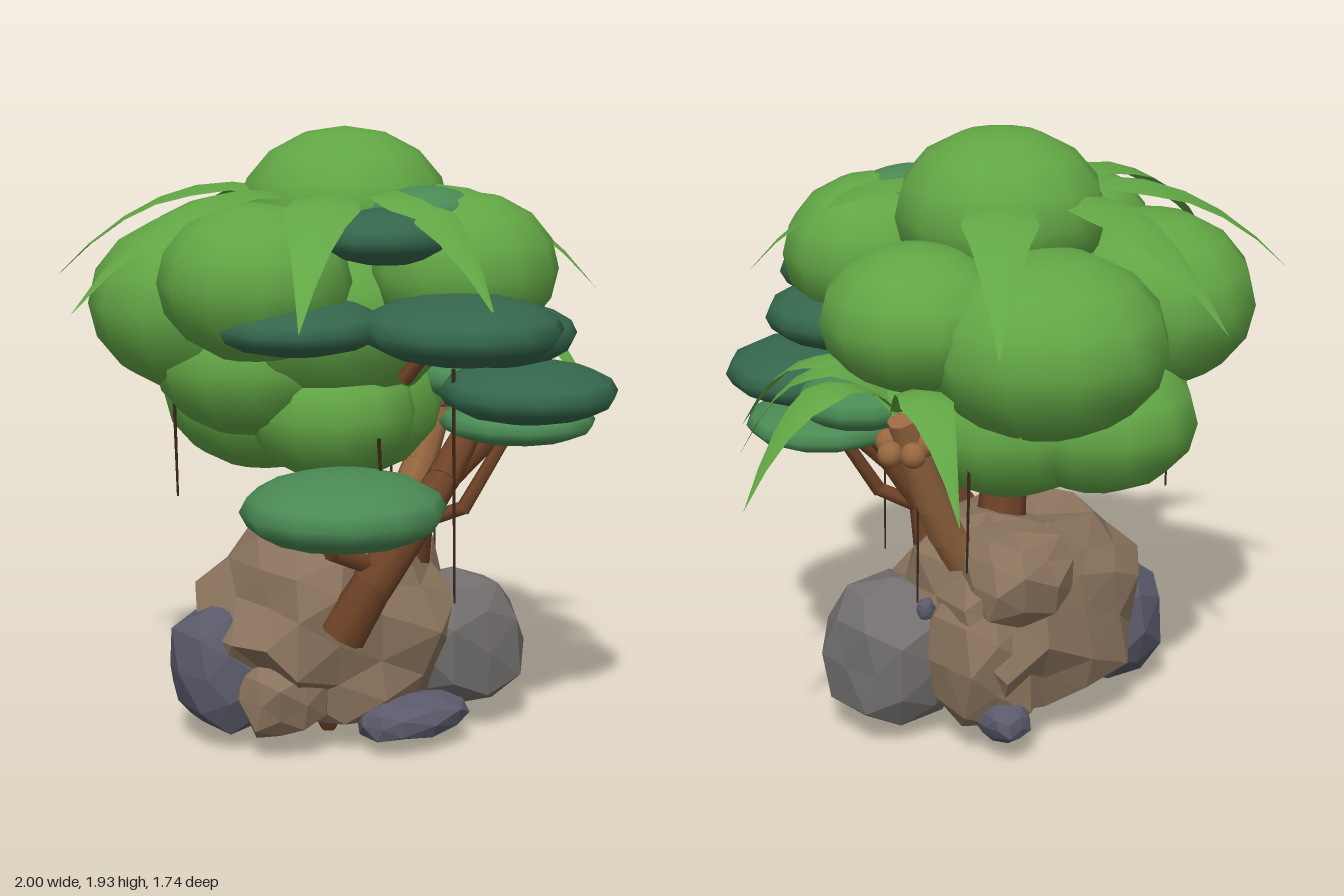
import * as THREE from 'three';

const mat = (name, color, side = THREE.FrontSide) => {
  const m = new THREE.MeshStandardMaterial({ color, side });
  m.name = name;
  return m;
};

export function createModel() {
  const group = new THREE.Group();
  const M = {
    leaf: mat('leaf green', 0x62a645),
    frond: mat('frond green', 0x62a645, THREE.DoubleSide),
    mid: mat('mid green', 0x4a8a54),
    dark: mat('dark green', 0x34674c),
    bark: mat('bark brown', 0x6f4327),
    palm: mat('palm bark', 0x986840),
    vine: mat('vine brown', 0x3c271a),
    earth: mat('earth brown', 0x8a735d),
    grey: mat('stone grey', 0x726f6e),
    slate: mat('slate', 0x5a5a6b),
  };
  const V = (p) => new THREE.Vector3(...p);
  const add = (name, geo, m) => {
    const mesh = new THREE.Mesh(geo, m);
    mesh.name = name;
    group.add(mesh);
    return mesh;
  };
  // repeatable noise in -1..1 from a position
  const noise = (x, y, z, s) => {
    const n = Math.sin(Math.round(x * 50) * 12.99 + Math.round(y * 50) * 78.23 + Math.round(z * 50) * 37.72 + s * 9.17) * 43758.5453;
    return (n - Math.floor(n)) * 2 - 1;
  };

  // smooth foliage, a squashed ball with few sides
  const blob = (name, [x, y, z], [rx, ry, rz], m) => {
    const mesh = add(name, new THREE.SphereGeometry(1, 12, 8), m);
    mesh.position.set(x, y, z);
    mesh.scale.set(rx, ry, rz);
  };
  [
    [[-0.02, 1.67, -0.06], [0.33, 0.26, 0.33]],
    [[0.15, 1.51, 0.33], [0.3, 0.24, 0.28]],
    [[0.38, 1.43, -0.12], [0.29, 0.22, 0.3]],
    [[0.13, 1.36, -0.41], [0.38, 0.28, 0.37]],
    [[-0.4, 1.38, -0.33], [0.34, 0.28, 0.34]],
    [[-0.45, 1.49, 0.09], [0.29, 0.24, 0.3]],
    [[-0.06, 1.35, -0.08], [0.42, 0.3, 0.4]],
    [[-0.3, 1.2, -0.18], [0.3, 0.23, 0.3]],
    [[-0.1, 1.05, -0.02], [0.27, 0.22, 0.28]],
    [[0.02, 1.05, -0.15], [0.34, 0.25, 0.33]],
    [[-0.15, 1.06, -0.34], [0.31, 0.24, 0.34]],
  ].forEach(([p, r]) => blob('canopy', p, r, M.leaf));

  // flat foliage pads
  [
    [[-0.37, 0.85, 0.44], [0.31, 0.115, 0.3], M.mid],
    [[-0.03, 1.37, 0.56], [0.3, 0.105, 0.31], M.dark],
    [[0.33, 1.13, 0.43], [0.28, 0.095, 0.28], M.dark],
    [[0.4, 1.01, 0.29], [0.25, 0.07, 0.25], M.mid],
    [[0.25, 1.31, 0.37], [0.25, 0.1, 0.25], M.dark],
    [[0.4, 1.13, 0.1], [0.22, 0.085, 0.2], M.mid],
    [[-0.39, 1.37, 0.24], [0.27, 0.085, 0.25], M.dark],
    [[-0.13, 1.63, 0.34], [0.23, 0.085, 0.18], M.dark],
    [[0.04, 1.69, 0.28], [0.18, 0.075, 0.16], M.mid],
  ].forEach(([p, r, m]) => blob('foliagePad', p, r, m));

  // arching pointed leaf with a raised midrib
  const frond = (root, tip, lift, width) => {
    const a = V(root), b = V(tip);
    const c = a.clone().lerp(b, 0.5);
    c.y = Math.max(a.y, b.y) + lift;
    const curve = new THREE.QuadraticBezierCurve3(a, c, b);
    const side = b.clone().sub(a).setY(0).normalize().cross(new THREE.Vector3(0, 1, 0));
    const n = 8, pos = [], idx = [];
    for (let i = 0; i <= n; i++) {
      const t = i / n, p = curve.getPoint(t);
      const w = width * (t < 0.5 ? 0.3 + 1.4 * t : (1 - t) / 0.5);
      [-1, 0, 1].forEach((s) => pos.push(p.x + side.x * w * s, p.y - Math.abs(s) * w * 0.2, p.z + side.z * w * s));
      if (i < n) for (let k = 0; k < 2; k++) {
        const q = i * 3 + k;
        idx.push(q, q + 1, q + 3, q + 1, q + 4, q + 3);
      }
    }
    const g = new THREE.BufferGeometry();
    g.setAttribute('position', new THREE.Float32BufferAttribute(pos, 3));
    g.setIndex(idx);
    g.computeVertexNormals();
    add('frond', g, M.frond);
  };
  [
    [-1, 1.42, -0.04], [-0.76, 1.45, -0.6], [-0.16, 1.42, -0.87], [0.55, 1.45, -0.65],
    [-0.67, 1.42, 0.66], [-0.07, 1.43, 0.77], [0.5, 1.45, 0.54],
  ].forEach((tip) => frond([-0.05, 1.64, -0.03], tip, 0.31, 0.115));
  [
    [1, 0.96, -0.06], [0.75, 0.98, 0.28], [0.69, 0.99, -0.64],
    [0.66, 1.03, 0.38], [0.3, 1.1, -0.5], [0.2, 1.1, 0.1],
  ].forEach((tip) => frond([0.46, 1.15, -0.12], tip, 0.34, 0.08));

  // jointed limb of tapered segments
  const limb = (name, pts, r0, r1, m, sides = 8) => {
    const n = pts.length - 1;
    for (let i = 0; i < n; i++) {
      const a = V(pts[i]), b = V(pts[i + 1]), d = b.clone().sub(a);
      const rad = (k) => r0 + (r1 - r0) * k / n;
      const mesh = add(name, new THREE.CylinderGeometry(rad(i + 1), rad(i) * 1.06, d.length() + 0.02, sides), m);
      mesh.position.copy(a).lerp(b, 0.5);
      mesh.quaternion.setFromUnitVectors(new THREE.Vector3(0, 1, 0), d.normalize());
    }
  };
  limb('frontTrunk', [[-0.24, 0.41, 0.25], [-0.17, 0.57, 0.31], [-0.05, 0.73, 0.34], [0.1, 0.86, 0.3], [0.24, 0.98, 0.24]], 0.07, 0.045, M.bark);
  limb('middleTrunk', [[0.11, 0.56, 0.1], [0.11, 0.7, 0.14], [0.2, 0.85, 0.2], [0.33, 0.98, 0.27]], 0.07, 0.035, M.bark);
  limb('rearTrunk', [[-0.05, 0.58, -0.03], [-0.08, 0.8, -0.02], [-0.06, 1.2, -0.02]], 0.08, 0.06, M.bark);
  limb('branch', [[-0.16, 0.62, 0.3], [-0.33, 0.69, 0.32], [-0.36, 0.84, 0.4]], 0.03, 0.022, M.bark, 5);
  limb('branch', [[0.12, 0.68, 0.13], [0.22, 0.74, 0.25], [0.36, 0.98, 0.3]], 0.026, 0.02, M.bark, 5);
  limb('branch', [[-0.05, 0.74, 0.33], [0.15, 0.78, 0.2], [0.3, 0.95, 0.18]], 0.024, 0.02, M.bark, 5);
  limb('branch', [[-0.1, 1.21, 0.38], [-0.06, 1.32, 0.46]], 0.025, 0.022, M.bark, 5);
  limb('root', [[-0.1, 0.1, -0.04], [-0.1, 0.005, -0.04]], 0.08, 0.025, M.bark, 5);

  // leaning palm trunk with nuts under its crown
  limb('palmTrunk', [[0.16, 0.56, -0.1], [0.25, 0.7, -0.1], [0.32, 0.83, -0.11], [0.38, 0.96, -0.12], [0.45, 1.12, -0.13]], 0.06, 0.045, M.palm);
  for (let i = 0; i < 5; i++) {
    const a = i * Math.PI * 0.4;
    blob('nut', [0.44 + 0.06 * Math.cos(a), 1.03 + 0.015 * (i % 2), -0.13 + 0.06 * Math.sin(a)], [0.04, 0.04, 0.04], M.palm);
  }

  // hanging vines
  [
    [0.11, 0.35, 1.2, 0.48], [0.37, -0.1, 1.1, 0.51], [0.31, -0.26, 0.96, 0.64],
    [-0.45, -0.38, 1.15, 0.76], [-0.24, 0.45, 1.04, 0.88],
  ].forEach(([x, z, top, low]) => limb('vine', [[x - 0.01, top, z], [x, low, z]], 0.007, 0.004, M.vine, 4));

  // rough faceted rock, flattened at the ground
  const rock = (name, [x, y, z], [rx, ry, rz], m, detail, rough, seed) => {
    const g = new THREE.IcosahedronGeometry(1, detail);
    const p = g.attributes.position;
    const square = (v) => Math.sign(v) * Math.abs(v) ** 0.82;
    for (let i = 0; i < p.count; i++) {
      const a = p.getX(i), b = p.getY(i), c = p.getZ(i);
      const k = 1 + rough * noise(a, b, c, seed);
      p.setXYZ(i, x + square(a) * rx * k, Math.max(0.045, y + square(b) * ry * k), z + square(c) * rz * k);
    }
    g.computeVertexNormals();
    add(name, g, m);
  };
  rock('mainRock', [-0.08, 0.36, -0.07], [0.4, 0.31, 0.34], M.earth, 2, 0.13, 1);
  rock('rockLedge', [0.07, 0.56, -0.23], [0.2, 0.14, 0.18], M.earth, 1, 0.16, 4);
  rock('rockBulge', [0.14, 0.3, -0.19], [0.2, 0.24, 0.18], M.earth, 1, 0.16, 8);
  rock('rockBulge', [-0.34, 0.18, 0.05], [0.14, 0.13, 0.14], M.earth, 1, 0.16, 9);
  rock('greyBoulder', [0.3, 0.26, 0.09], [0.22, 0.23, 0.21], M.grey, 1, 0.09, 2);
  rock('slateBoulder', [-0.4, 0.24, -0.15], [0.19, 0.21, 0.2], M.slate, 1, 0.08, 3);
  rock('slateSlab', [0.03, 0.09, 0.24], [0.19, 0.07, 0.12], M.slate, 1, 0.06, 5);
  rock('slateChip', [0.21, 0.12, -0.32], [0.08, 0.06, 0.09], M.slate, 1, 0.1, 6);
  rock('slateChip', [0.31, 0.45, -0.07], [0.03, 0.035, 0.025], M.slate, 1, 0.1, 7);
  return group;
}
